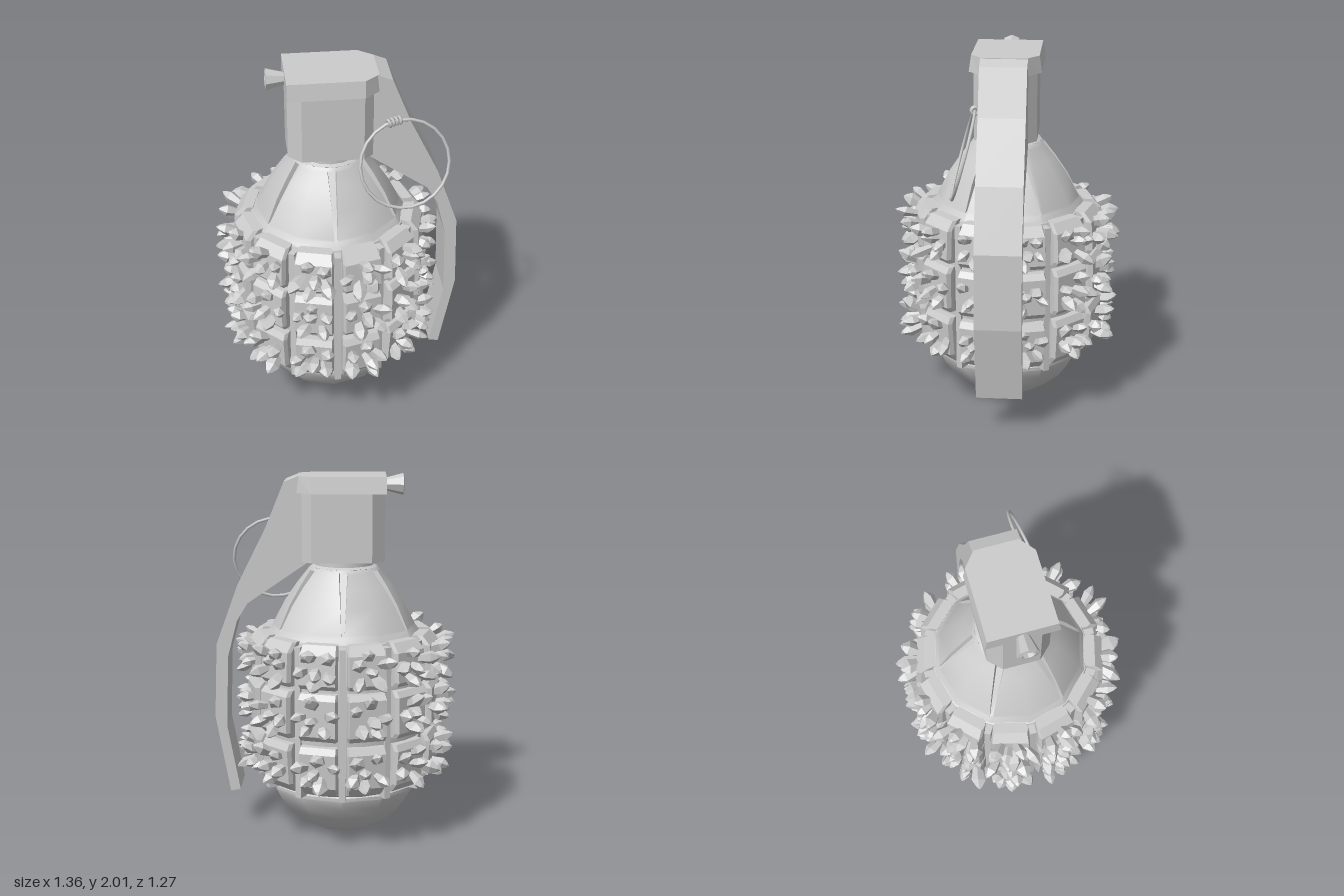
import * as THREE from 'three';
import { mergeGeometries, toCreasedNormals } from 'three/addons/utils/BufferGeometryUtils.js';
import { ConvexGeometry } from 'three/addons/geometries/ConvexGeometry.js';

const smooth = new THREE.MeshStandardMaterial({ color: 0xcccccc });
const flat = new THREE.MeshStandardMaterial({ color: 0xcccccc, flatShading: true });
const V2 = ([x, y]) => new THREE.Vector2(x, y);
const SECTOR = Math.PI / 6;

let seed = 7;
const rand = (lo, hi) => {
  seed = (seed * 16807) % 2147483647;
  return lo + (hi - lo) * seed / 2147483647;
};

const polar = (r, a, y) => new THREE.Vector3(r * Math.sin(a), y, r * Math.cos(a));

function add(parent, name, geometry, material = flat) {
  const mesh = new THREE.Mesh(geometry, material);
  mesh.name = name;
  parent.add(mesh);
  return mesh;
}

const lathe = (points, sides) =>
  toCreasedNormals(new THREE.LatheGeometry(points.map(V2), sides), 0.6);

// Sloping shoulder with six tapered slits: [y, radius, slit half width, slit depth]
function shoulderGeometry() {
  const rings = [
    [1.13, 0.425, 0.008, 0], [1.165, 0.4, 0.008, 0], [1.175, 0.395, 0.009, 0.014], [1.3, 0.33, 0.015, 0.03],
    [1.4, 0.262, 0.02, 0.035], [1.475, 0.203, 0.025, 0.035], [1.48, 0.2, 0.025, 0], [1.495, 0.185, 0.025, 0],
  ];
  const position = [], index = [];
  for (const [y, r, w, d] of rings) {
    for (let k = 0; k < 6; k++) {
      const a = k * 2 * SECTOR, da = w / r;
      for (const [ang, rad] of [[-da, r], [-da, r - d], [da, r - d], [da, r], [SECTOR, r]])
        position.push(...polar(rad, a + ang, y).toArray());
    }
  }
  const n = 30;
  for (let j = 0; j < rings.length - 1; j++) {
    for (let i = 0; i < n; i++) {
      const a = j * n + i, b = j * n + (i + 1) % n;
      index.push(a, b, b + n, a, b + n, a + n);
    }
  }
  const g = new THREE.BufferGeometry();
  g.setAttribute('position', new THREE.Float32BufferAttribute(position, 3));
  g.setIndex(index);
  return toCreasedNormals(g, 0.6);
}

// One armour block, wedge shaped, from [y, outer radius] levels
function blockGeometry(levels, angle) {
  const points = [];
  for (const [y, r] of levels) {
    for (const s of [-1, 1]) {
      points.push(polar(0.42, angle + s * 0.2, y));
      points.push(polar(r - 0.02, angle + s * 0.212, y));
      points.push(polar(r + 0.005, angle + s * 0.19, y));
    }
  }
  return new ConvexGeometry(points);
}

// Ring of irregular pointed crystals growing out of one block
function crystalCluster(angle, y, scale) {
  const parts = [];
  const place = new THREE.Matrix4().makeRotationY(angle).setPosition(0, y, 0);
  const turn = rand(0, 6.28);
  for (let i = 0; i < 6; i++) {
    const t = turn + i * 6.28 / 5 + rand(-0.25, 0.25);
    const spread = i === 5 ? 0.015 : rand(0.055, 0.075) * scale;
    const u = Math.cos(t) * spread, v = Math.sin(t) * spread * 0.9;
    const w = rand(0.034, 0.046) * scale, len = rand(0.1, 0.14) * scale;
    const g = new THREE.LatheGeometry(
      [[0.6 * w, 0], [w, 0.6 * len], [0.45 * w, 0.88 * len], [0, len]].map(V2), 5, rand(0, 6));
    // Skew the tip so that no crystal is symmetrical
    const kx = rand(-0.2, 0.2), kz = rand(-0.2, 0.2), p = g.attributes.position;
    for (let k = 0; k < p.count; k++) {
      const h = p.getY(k);
      p.setXYZ(k, p.getX(k) + kx * h, h, p.getZ(k) * 0.85 + kz * h);
    }
    const dir = new THREE.Vector3(u * 8, v * 8, 1).normalize();
    g.applyQuaternion(new THREE.Quaternion().setFromUnitVectors(new THREE.Vector3(0, 1, 0), dir));
    g.translate(u, v, 0.505);
    g.applyMatrix4(place);
    parts.push(g);
  }
  return mergeGeometries(parts);
}

function createBody() {
  const body = new THREE.Group();
  body.name = 'body';
  add(body, 'base', lathe([[0, 0], [0.18, 0], [0.27, 0.055], [0.35, 0.13], [0.4, 0.2], [0.425, 0.255],
    [0.425, 0.275], [0.4, 0.29]], 12), smooth);
  add(body, 'core', lathe([[0.4, 0.275], [0.44, 0.3], [0.462, 0.45], [0.475, 0.6], [0.475, 0.88],
    [0.46, 1.02], [0.43, 1.13], [0.4, 1.14]], 24), smooth);
  add(body, 'shoulder', shoulderGeometry(), smooth);
  add(body, 'neck', lathe([[0.16, 1.47], [0.185, 1.495], [0.165, 1.505], [0.165, 1.55]], 16), smooth);

  // Three rows of twelve blocks, each carrying crystals
  const rows = [
    [[0.31, 0.47], [0.36, 0.515], [0.55, 0.53], [0.585, 0.51]],
    [[0.62, 0.51], [0.65, 0.535], [0.85, 0.535], [0.88, 0.51]],
    [[0.905, 0.51], [0.93, 0.53], [1.09, 0.52], [1.14, 0.475]],
  ];
  const centres = [0.46, 0.75, 1.02];
  const blocks = [], crystals = [], ribs = [];
  for (let k = 0; k < 12; k++) {
    const angle = (k + 0.5) * SECTOR;
    rows.forEach((levels, r) => {
      blocks.push(blockGeometry(levels, angle));
      const nearLever = k === 2 || k === 3;
      crystals.push(crystalCluster(angle, centres[r], nearLever ? 0.85 : 1));
    });
    // Upright rib in the groove between neighbouring blocks
    ribs.push(new THREE.BoxGeometry(0.035, 0.84, 0.06).translate(0, 0.7, 0.455).rotateY(k * SECTOR));
  }
  add(body, 'armourBlocks', mergeGeometries(blocks));
  add(body, 'crystals', mergeGeometries(crystals));
  add(body, 'grooveRibs', mergeGeometries(ribs));
  return body;
}

// Plan outline (x, z) extruded upward from y0 to y1
function slab(outline, y0, y1) {
  return new THREE.ExtrudeGeometry(new THREE.Shape(outline.map(V2)), { depth: y1 - y0, bevelEnabled: false })
    .rotateX(-Math.PI / 2).translate(0, y0, 0);
}

function createFuze() {
  const fuze = new THREE.Group();
  fuze.name = 'fuze';
  add(fuze, 'fuzeHousing', slab([[-0.27, -0.1], [-0.2, -0.17], [0.13, -0.17], [0.2, -0.11],
    [0.2, 0.11], [0.13, 0.17], [-0.2, 0.17], [-0.27, 0.1]], 1.53, 1.92));

  // Cap, slightly narrower at its top
  const cap = slab([[-0.275, -0.195], [0.13, -0.195], [0.21, -0.125], [0.21, 0.125],
    [0.13, 0.195], [-0.275, 0.195]], 1.905, 1.997);
  const p = cap.attributes.position;
  for (let i = 0; i < p.count; i++) if (p.getY(i) > 1.95) p.setZ(i, p.getZ(i) * 0.93);
  cap.computeVertexNormals();
  add(fuze, 'cap', cap);

  // Safety lever with its side flange
  const profile = [[0.13, 1.997], [0.2, 1.997], [0.28, 1.965], [0.38, 1.72], [0.54, 1.4], [0.66, 1.07],
    [0.675, 0.655], [0.595, 0.215], [0.54, 0.225], [0.61, 0.6], [0.597, 1.0], [0.545, 1.2],
    [0.485, 1.3], [0.135, 1.54]];
  add(fuze, 'lever', new THREE.ExtrudeGeometry(new THREE.Shape(profile.map(V2)),
    { depth: 0.25, bevelEnabled: false }).translate(0, 0, -0.125));

  // Flared hollow stub opposite the lever
  const stub = new THREE.LatheGeometry([[0.035, 0], [0.06, 0.095], [0.036, 0.1], [0.03, 0.03], [0, 0.03]].map(V2), 8);
  add(fuze, 'stub', stub.rotateZ(Math.PI / 2).translate(-0.275, 1.945, 0));
  return fuze;
}

function createPullRing() {
  const ring = new THREE.Group();
  ring.name = 'pullRing';
  add(ring, 'ringLoop', new THREE.TorusGeometry(0.243, 0.009, 6, 22), smooth);
  // Wire coil wound round the top of the loop
  const coil = [];
  for (let i = 0; i < 4; i++) {
    const a = 1.68 + i * 0.08;
    coil.push(new THREE.TorusGeometry(0.018, 0.009, 6, 10).rotateY(Math.PI / 2 + 0.2)
      .rotateZ(a - Math.PI / 2).translate(0.243 * Math.cos(a), 0.243 * Math.sin(a), 0));
  }
  add(ring, 'ringCoil', mergeGeometries(coil), smooth);
  ring.position.set(0.343, 1.507, 0.195);
  ring.rotation.set(-0.27, 0.08, 0);
  return ring;
}

export function createModel() {
  const model = new THREE.Group();
  model.name = 'crystalGrenade';
  const body = createBody();
  body.position.set(-0.045, 0, -0.015);
  const fuze = createFuze();
  fuze.position.z = -0.012;
  model.add(body, fuze, createPullRing());
  return model;
}
